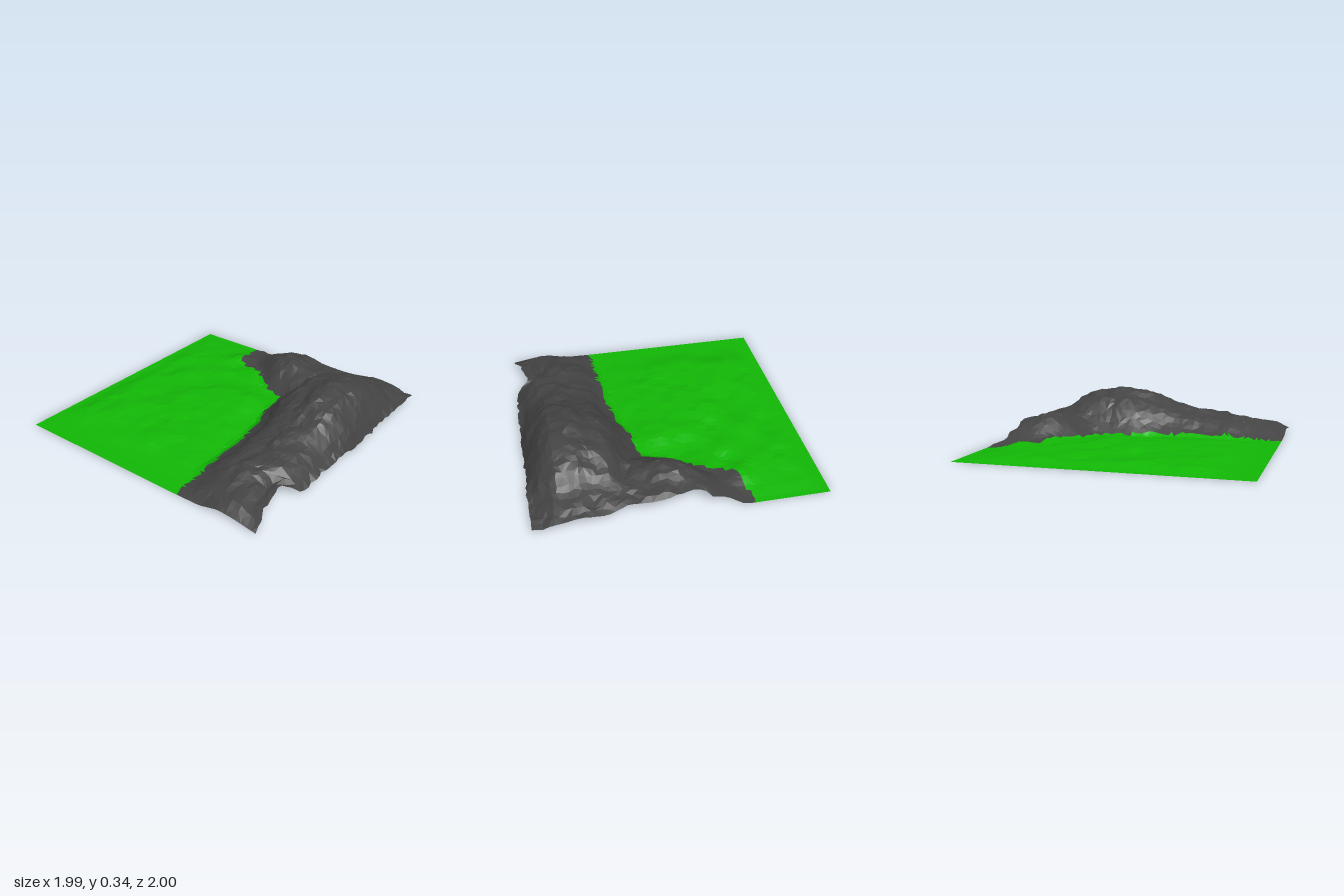
import * as THREE from 'three';

const N = 50; // grid cells per side

// Piecewise-linear lookup through [key, value] pairs with ascending keys
function curve(points, k) {
  if (k <= points[0][0]) return points[0][1];
  for (let i = 1; i < points.length; i++) {
    const [k0, v0] = points[i - 1], [k1, v1] = points[i];
    if (k <= k1) return v0 + (v1 - v0) * (k - k0) / (k1 - k0);
  }
  return points[points.length - 1][1];
}

// Seeded value in 0..1 for a lattice point, and smooth noise between them
function hash(i, j) {
  const s = Math.sin(i * 127.1 + j * 311.7 + 4.2) * 43758.5453;
  return s - Math.floor(s);
}
function noise(x, z) {
  const i = Math.floor(x), j = Math.floor(z);
  const u = THREE.MathUtils.smoothstep(x - i, 0, 1), v = THREE.MathUtils.smoothstep(z - j, 0, 1);
  const lerp = THREE.MathUtils.lerp;
  return lerp(lerp(hash(i, j), hash(i + 1, j), u), lerp(hash(i, j + 1), hash(i + 1, j + 1), u), v);
}
const step = THREE.MathUtils.smoothstep;

// Where the grass ends and the rock begins: x by z
const grassEdge = [[-1, -0.5], [-0.85, -0.45], [-0.78, -0.44], [-0.7, -0.42], [-0.65, -0.36], [-0.6, -0.2],
  [-0.55, -0.12], [-0.45, 0.02], [-0.4, 0.16], [-0.3, 0.19], [-0.15, 0.2], [0, 0.27], [0.2, 0.3],
  [0.5, 0.33], [0.8, 0.34], [1, 0.35]];
// Ragged outer borders: x by z on the right-hand side, z by x at the back
const sideEdge = [[-1, 0.98], [0, 0.98], [0.54, 0.97], [0.58, 0.87], [0.85, 0.92], [0.95, 0.97], [1, 0.98]];
const backEdge = [[-1, -0.98], [-0.4, -0.98], [-0.3, -0.92], [-0.2, -0.94], [-0.15, -0.89], [0, -0.93],
  [0.1, -0.95], [0.35, -0.93], [0.5, -0.98], [0.8, -1], [1, -0.99]];
// Main ridge: foot x by z, crest height by z, and cross-section from foot to outer border
const ridgeFoot = [[-1, 0.15], [-0.35, 0.18], [-0.15, 0.19], [0, 0.24], [0.2, 0.27], [0.6, 0.28], [0.8, 0.33]];
const ridgeCrest = [[-1, 0.085], [-0.9, 0.12], [-0.8, 0.155], [-0.7, 0.22], [-0.6, 0.27], [-0.5, 0.315], [-0.35, 0.335],
  [-0.2, 0.325], [-0.1, 0.305], [0, 0.265], [0.1, 0.22], [0.3, 0.18], [0.6, 0.14], [0.8, 0.1], [0.95, 0.075], [1, 0.04]];
const ridgeSection = [[0, 0.04], [0.13, 0.3], [0.25, 0.66], [0.33, 0.8], [0.45, 0.88], [0.54, 0.99],
  [0.65, 0.97], [0.77, 0.9], [0.87, 0.65], [0.95, 0.35], [1, 0.08]];
const frontSection = [[0, 0], [0.33, 0.1], [0.55, 1], [0.75, 0.7], [1, 0]];
// Sideways lean of the crest and height of the outer border, both by z
const ridgeLean = [[-0.7, 1.1], [-0.4, 1]];
const borderHeight = [[-1, 0.05], [-0.9, 0.06], [-0.85, 0.04], [-0.65, 0.045], [-0.5, 0.015], [-0.15, 0.015],
  [0, 0.045], [0.3, 0.04], [0.5, 0.005], [0.58, 0.075], [0.85, 0.065], [0.95, 0.03], [1, 0]];
// Rear hump: front foot z by x, and height profiles along x and z
const humpFront = [[-0.5, -0.68], [-0.2, -0.57], [0, -0.45], [0.2, -0.38]];
const humpAcross = [[-0.45, 0], [-0.3, 0.25], [-0.2, 0.55], [-0.1, 0.9], [0, 1], [0.1, 0.97], [0.2, 0.82], [0.35, 0.65], [0.6, 0.3]];
const humpAlong = [[-1, 0.1], [-0.93, 0.125], [-0.85, 0.145], [-0.75, 0.18], [-0.7, 0.185]];

function height(x, z) {
  // Gentle swells in the meadow, with a small mound beside the rear hump
  const meadow = step(x, -0.99, -0.8) * (1 - step(x, 0, 0.35)) * step(z, -0.96, -0.75) * (1 - step(z, 0.6, 0.9));
  const mound = 0.03 * Math.exp(-((x + 0.46) ** 2 + (z + 0.69) ** 2) / 0.006);
  const grass = mound + meadow * (0.008 + 0.036 * noise(x * 5 + 9, z * 5) + 0.012 * noise(x * 13, z * 13));

  // Ridge along the right-hand side
  const foot = curve(ridgeFoot, z), border = curve(sideEdge, z);
  const t = Math.max(0, (x - foot) / (border - foot));
  const leaned = t ** curve(ridgeLean, z);
  const section = THREE.MathUtils.lerp(curve(ridgeSection, leaned), curve(frontSection, t), step(z, 0.92, 1));
  const ridge = t === 0 ? 0 : Math.max(curve(ridgeCrest, z) * section, curve(borderHeight, z) * step(t, 0.7, 0.95));

  // Lower hump at the back
  const rise = step(curve(humpFront, x) - z, -0.06, 0.24);
  const hump = curve(humpAlong, z) * curve(humpAcross, x) * rise;

  // Rounded blend where hump and ridge meet
  const rock = (ridge + hump + Math.sqrt((ridge - hump) ** 2 + 0.2 * ridge * hump)) / 2;
  const rough = step(rock, 0.02, 0.12) * (0.024 * (noise(x * 9, z * 9) - 0.5) + 0.02 * (noise(x * 22, z * 22) - 0.5));
  return Math.max(0, grass, rock + rough);
}

// Grid corner, jittered inside and fitted to the ragged borders
function gridPoint(i, j) {
  const inside = i > 0 && i < N && j > 0 && j < N;
  let x = -1 + 2 * i / N, z = -1 + 2 * j / N;
  if (inside) {
    x += (hash(i, j) - 0.5) * 0.02;
    z += (hash(j + 70, i) - 0.5) * 0.02;
  }
  const back = curve(backEdge, x);
  if (z < -0.6) z = -0.6 + (z + 0.6) / 0.4 * (-0.6 - back);
  const side = curve(sideEdge, z) + (i === N ? (hash(j, 5) - 0.5) * 0.02 : 0);
  if (x > 0.5) x = 0.5 + (x - 0.5) / 0.5 * (side - 0.5);
  return [x, height(x, z), z];
}

export function createModel() {
  const model = new THREE.Group();
  model.name = 'terrain';

  const positions = [];
  for (let j = 0; j <= N; j++) for (let i = 0; i <= N; i++) positions.push(...gridPoint(i, j));

  // Sort each triangle into grass or rock by its centre
  const faces = { grass: [], rock: [] };
  const addFace = (...ids) => {
    const mid = k => (positions[ids[0] * 3 + k] + positions[ids[1] * 3 + k] + positions[ids[2] * 3 + k]) / 3;
    faces[mid(0) < curve(grassEdge, mid(2)) ? 'grass' : 'rock'].push(...ids);
  };
  for (let j = 0; j < N; j++) {
    for (let i = 0; i < N; i++) {
      const a = j * (N + 1) + i, b = a + 1, c = a + N + 1, d = c + 1;
      if (hash(i + 31, j) < 0.5) { addFace(a, c, b); addFace(b, c, d); }
      else { addFace(a, c, d); addFace(a, d, b); }
    }
  }

  const addPart = (name, index, color) => {
    const geometry = new THREE.BufferGeometry();
    geometry.setAttribute('position', new THREE.Float32BufferAttribute(positions, 3));
    geometry.setIndex(index);
    const flat = geometry.toNonIndexed();
    flat.computeVertexNormals();
    const material = new THREE.MeshStandardMaterial({ color, flatShading: true, side: THREE.DoubleSide });
    const mesh = new THREE.Mesh(flat, material);
    mesh.name = name;
    model.add(mesh);
  };
  addPart('grassMeadow', faces.grass, 0x12b806);
  addPart('rockRidge', faces.rock, 0x444444);
  return model;
}
